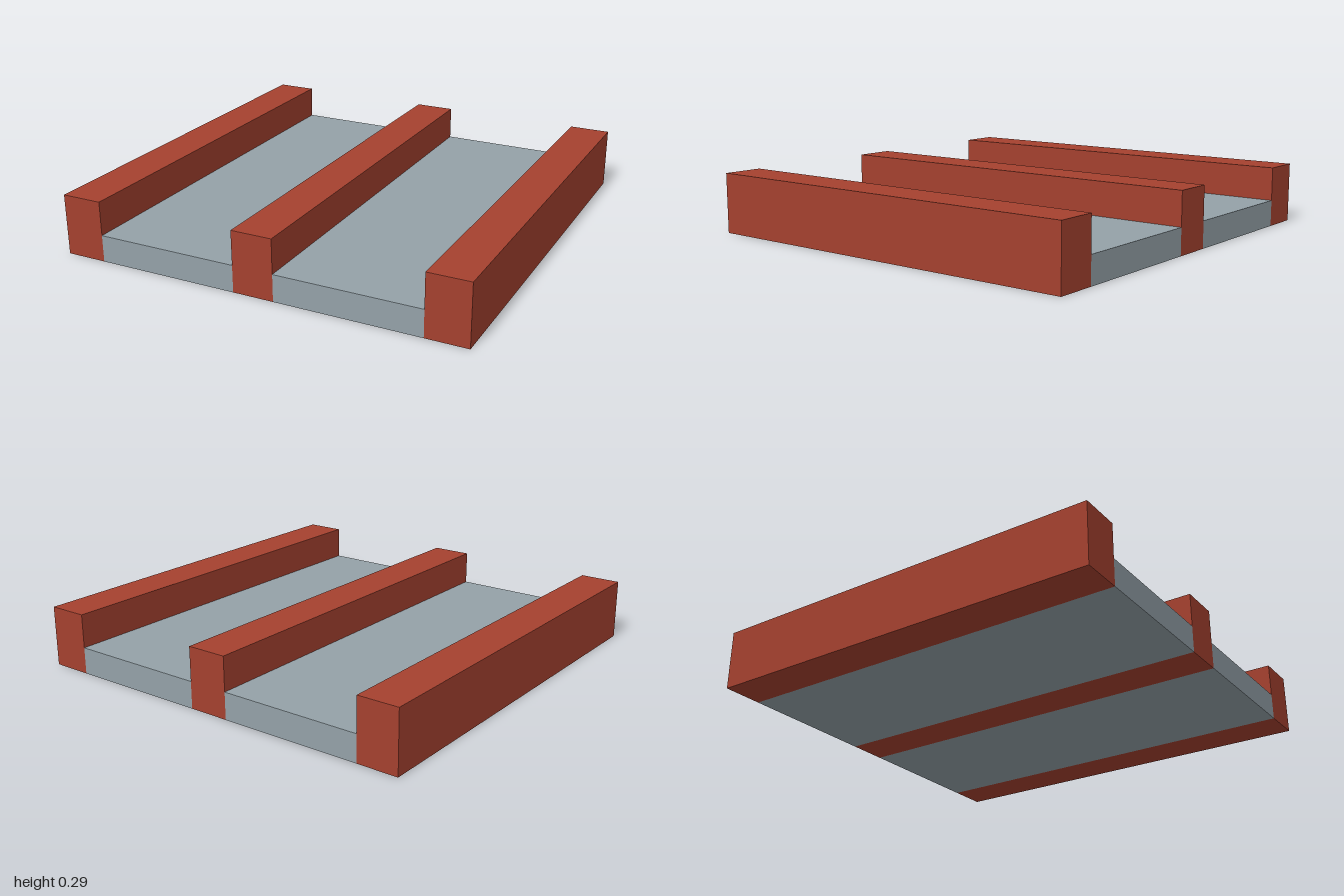
import * as THREE from 'three';

const LENGTH = 2;
const RAIL = { width: 0.2, height: 0.295 };
const PANEL = { width: 0.7, height: 0.13 };

export function createModel() {
  const model = new THREE.Group();
  model.name = 'railedFloor';

  const red = new THREE.MeshStandardMaterial({ color: 0xa5412f });
  const grey = new THREE.MeshStandardMaterial({ color: 0x94a1a8 });

  // Full-length bar standing on the ground, centred at x
  const addBar = (name, { width, height }, x, material) => {
    const bar = new THREE.Mesh(new THREE.BoxGeometry(width, height, LENGTH), material);
    bar.name = name;
    bar.position.set(x, height / 2, 0);
    model.add(bar);
  };

  // Raised rails: one on each edge and one in the middle
  addBar('rightRail', RAIL, -0.9, red);
  addBar('centreRail', RAIL, 0, red);
  addBar('leftRail', RAIL, 0.9, red);

  // Floor panels filling the gaps between rails
  addBar('rightFloorPanel', PANEL, -0.45, grey);
  addBar('leftFloorPanel', PANEL, 0.45, grey);

  return model;
}
